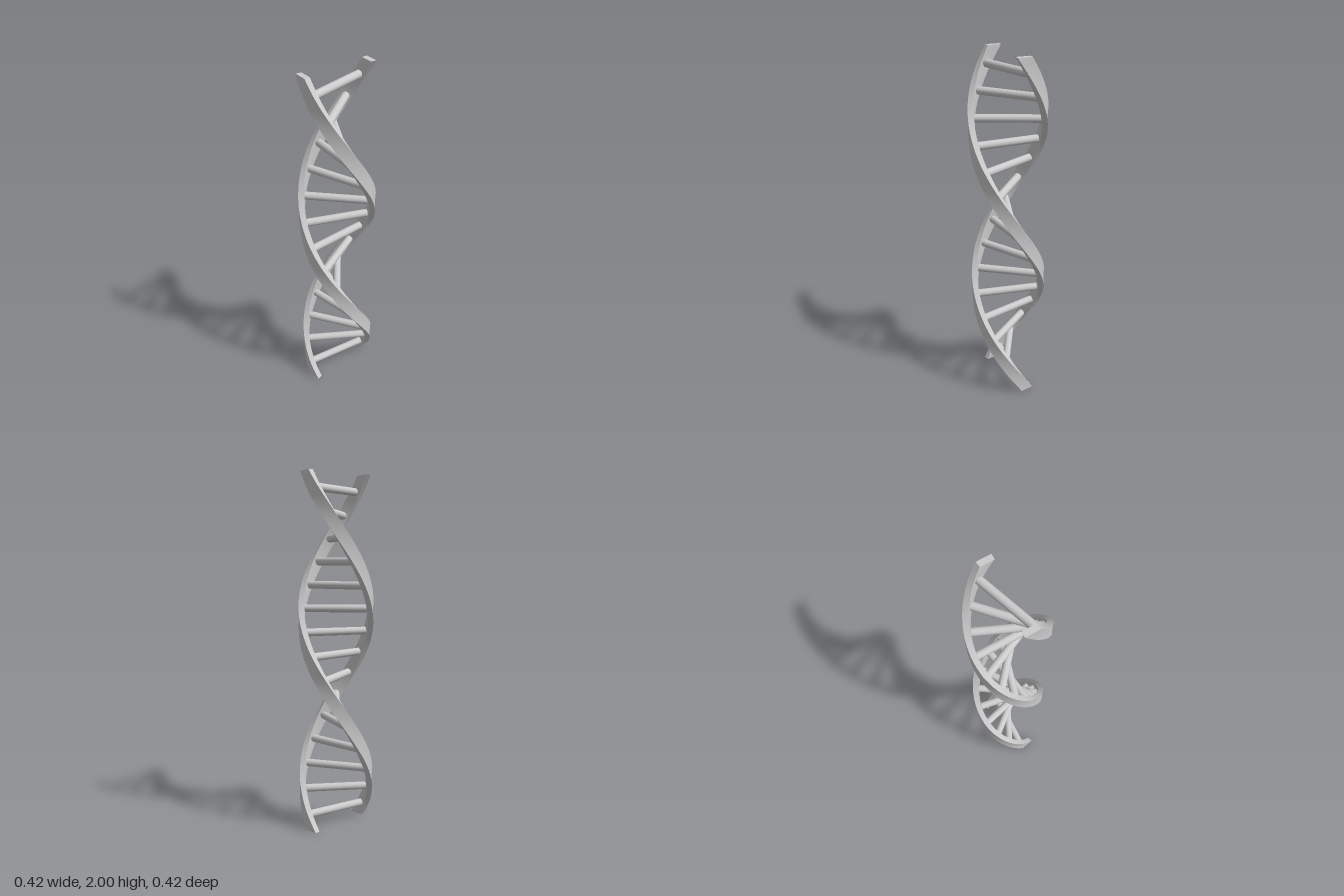
import * as THREE from 'three';
import { toCreasedNormals } from 'three/addons/utils/BufferGeometryUtils.js';

const HEIGHT = 2;
const TURN_RATE = Math.PI / 0.97;
const RUNG_COUNT = 15;

// Angle of the first strand around the y axis at a given height
const angleAt = (y) => TURN_RATE * (y - 1.095);

// Rectangular section [radius, angle offset], swept up the helix with level ends
const SECTION = [[0.211, -0.19], [0.211, 0.19], [0.18, 0.21], [0.18, -0.21]];

function strandGeometry(phase, steps = 72) {
  const positions = [];
  const index = [];
  for (let i = 0; i <= steps; i++) {
    const y = (HEIGHT * i) / steps;
    for (const [r, offset] of SECTION) {
      const t = angleAt(y) + phase + offset;
      positions.push(r * Math.cos(t), y, r * Math.sin(t));
    }
  }
  for (let i = 0; i < steps; i++) {
    for (let k = 0; k < 4; k++) {
      const a = i * 4 + k;
      const b = i * 4 + ((k + 1) % 4);
      index.push(a, a + 4, b, b, a + 4, b + 4);
    }
  }
  // End caps
  const top = steps * 4;
  index.push(0, 1, 2, 0, 2, 3);
  index.push(top, top + 2, top + 1, top, top + 3, top + 2);

  const geometry = new THREE.BufferGeometry();
  geometry.setAttribute('position', new THREE.Float32BufferAttribute(positions, 3));
  geometry.setIndex(index);
  return toCreasedNormals(geometry, Math.PI / 5);
}

export function createModel() {
  const model = new THREE.Group();
  model.name = 'doubleHelix';
  const material = new THREE.MeshStandardMaterial({ color: 0xcccccc });

  // Two opposite strands
  [0, Math.PI].forEach((phase, i) => {
    const strand = new THREE.Mesh(strandGeometry(phase), material);
    strand.name = i === 0 ? 'firstStrand' : 'secondStrand';
    model.add(strand);
  });

  // Round rungs joining the strands
  const rungGeometry = new THREE.CylinderGeometry(0.022, 0.022, 0.38, 24);
  rungGeometry.rotateZ(Math.PI / 2);
  for (let i = 0; i < RUNG_COUNT; i++) {
    const y = 0.08 + (i * 1.83) / (RUNG_COUNT - 1);
    const rung = new THREE.Mesh(rungGeometry, material);
    rung.name = `rung${i + 1}`;
    rung.position.y = y;
    rung.rotation.y = -angleAt(y);
    model.add(rung);
  }
  return model;
}
